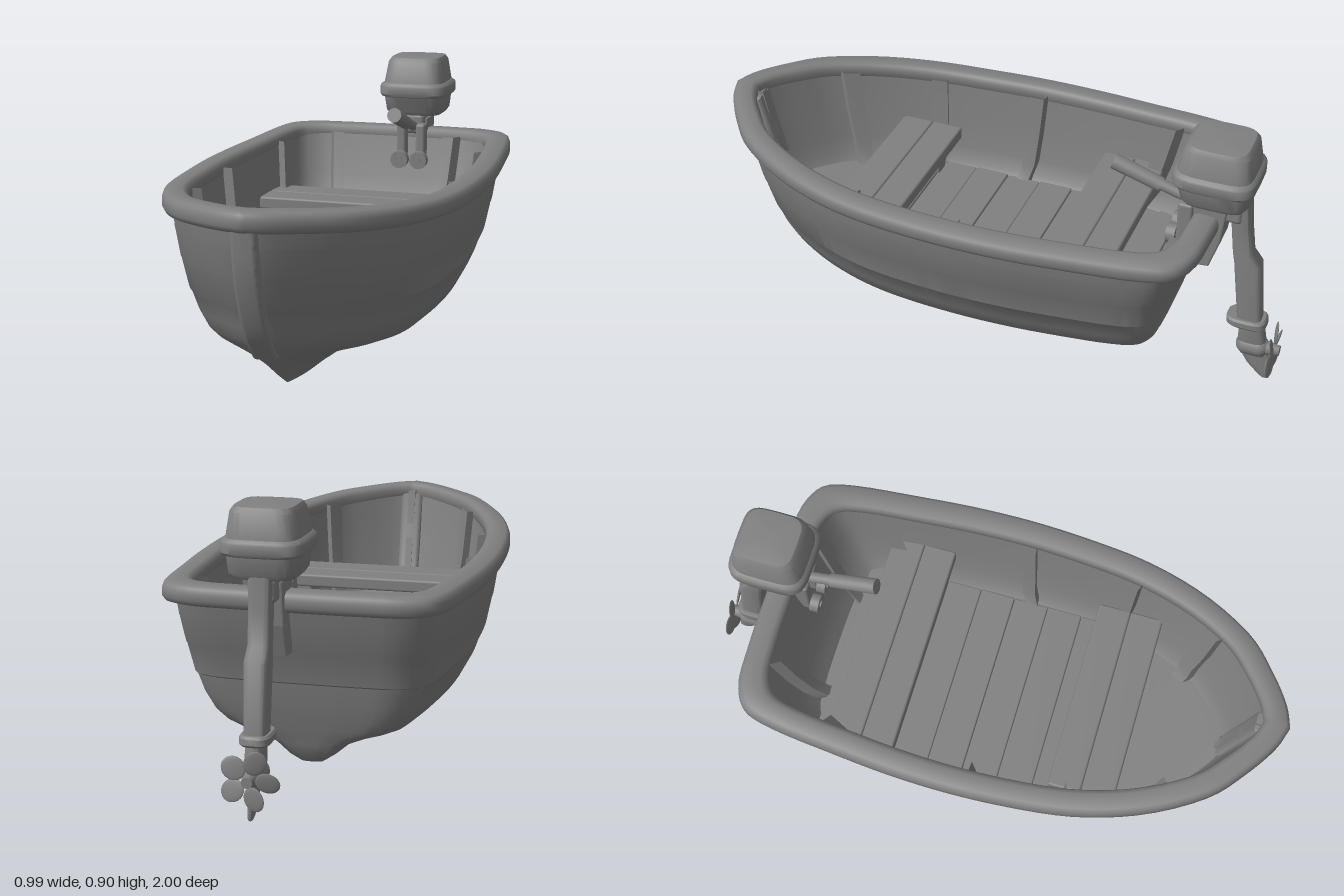
import * as THREE from 'three';
import { toCreasedNormals } from 'three/addons/utils/BufferGeometryUtils.js';
import { RoundedBoxGeometry } from 'three/addons/geometries/RoundedBoxGeometry.js';

const grey = new THREE.MeshStandardMaterial({ color: 0x808080 });
const MX = 0.069; // motor centre line

// half plan outline: x = share of half width, z = share of length from stern to bow
const outline = new THREE.CatmullRomCurve3([
  [0, 0], [0.4, 0.002], [0.72, 0.012], [0.86, 0.042], [0.91, 0.096], [0.955, 0.209], [0.99, 0.322], [1, 0.435],
  [0.98, 0.548], [0.93, 0.661], [0.81, 0.774], [0.585, 0.887], [0.365, 0.944], [0.14, 0.986], [0, 1],
].map(([x, t]) => new THREE.Vector3(x, 0, t)));
const BOW = 14; // outline point at the bow

const sheer = (t) => 0.055 * Math.max(0, (t - 0.55) / 0.45) ** 1.7 + 0.015 * Math.max(0, (0.4 - t) / 0.4) ** 2;

// point on a hull level [half width, y, stern z, bow z, sheer share]; s runs 0..2 round the boat
function hullPoint([w, y, zb, zf, rise], s, inset = 0) {
  const p = outline.getPoint(s <= 1 ? s : 2 - s);
  const t = p.z;
  const z0 = zb + inset, z1 = zf - inset;
  return new THREE.Vector3((s <= 1 ? 1 : -1) * p.x * Math.max(0, w - inset), y + rise * sheer(t), z0 + t * (z1 - z0));
}

// surface through rows of points
function grid(rows, closed = true, crease = 0.6) {
  const n = rows[0].length, pos = [], index = [];
  rows.forEach((r) => r.forEach((p) => pos.push(p.x, p.y, p.z)));
  for (let i = 0; i < rows.length - 1; i++) {
    for (let j = 0; j < (closed ? n : n - 1); j++) {
      const k = (j + 1) % n, a = i * n + j, b = i * n + k, c = a + n, d = b + n;
      index.push(a, b, c, b, d, c);
    }
  }
  const g = new THREE.BufferGeometry();
  g.setAttribute('position', new THREE.Float32BufferAttribute(pos, 3));
  g.setIndex(index);
  return toCreasedNormals(g, crease);
}

const STEPS = 112;
const ring = (level, inset = 0) => Array.from({ length: STEPS }, (_, j) => hullPoint(level, (2 * j) / STEPS, inset));

// rounded-rectangle sections [y, centre z, half x, half z], listed from top to bottom
function loft(sections, power = 0.45) {
  const n = 32;
  const bend = (v) => Math.sign(v) * Math.abs(v) ** power;
  const first = sections[0], last = sections[sections.length - 1];
  const all = [[first[0], first[1], 0, 0], ...sections, [last[0], last[1], 0, 0]];
  return grid(all.map(([y, z, hx, hz]) => Array.from({ length: n }, (_, j) => {
    const a = (j / n) * Math.PI * 2;
    return new THREE.Vector3(MX + hx * bend(Math.cos(a)), y, z + hz * bend(Math.sin(a)));
  })));
}

export function createModel() {
  const boat = new THREE.Group();
  const add = (name, geometry, x = 0, y = 0, z = 0) => {
    const m = new THREE.Mesh(geometry, grey);
    m.name = name;
    m.position.set(x, y, z);
    boat.add(m);
    return m;
  };
  const box = (name, w, h, d, x, y, z, r = 0.008) => add(name, new RoundedBoxGeometry(w, h, d, 2, r), x, y, z);
  // cylinder between two points
  const rod = (name, a, b, r0, r1 = r0) => {
    const p = new THREE.Vector3(...a), q = new THREE.Vector3(...b);
    const m = add(name, new THREE.CylinderGeometry(r1, r0, p.distanceTo(q), 20));
    m.position.copy(p).add(q).multiplyScalar(0.5);
    m.quaternion.setFromUnitVectors(new THREE.Vector3(0, 1, 0), q.sub(p).normalize());
    return m;
  };

  // planked hull with shallow strake edges and a hollow chine rising to the bow
  const hull = [
    [0.463, 0.60, -0.735, 0.968, 1], [0.456, 0.51, -0.714, 0.954, 1], [0.4545, 0.504, -0.712, 0.952, 1],
    [0.441, 0.42, -0.69, 0.931, 0.9], [0.438, 0.414, -0.687, 0.928, 0.9],
    [0.419, 0.32, -0.662, 0.896, 0.8], [0.413, 0.315, -0.656, 0.892, 0.8],
    [0.39, 0.25, -0.643, 0.87, 0.9], [0.357, 0.19, -0.627, 0.85, 1.2], [0.315, 0.153, -0.617, 0.835, 1.5],
    [0.27, 0.136, -0.612, 0.822, 1.5], [0.21, 0.124, -0.606, 0.795, 1.2], [0.14, 0.104, -0.598, 0.74, 0.8],
    [0.09, 0.072, -0.585, 0.655, 0.3], [0.05, 0.05, -0.56, 0.59, 0], [0, 0.04, -0.52, 0.5, 0],
  ];
  add('hull', grid(hull.map((l) => ring(l))));

  // inner lining and floor, from the floor centre up to the rail
  const lining = [
    [0, 0.265, -0.5, 0.8, 0.6], [0.345, 0.265, -0.555, 0.825, 0.6], [0.362, 0.285, -0.57, 0.84, 0.7],
    [0.378, 0.34, -0.608, 0.855, 0.8], [0.396, 0.45, -0.65, 0.89, 1], [0.412, 0.6, -0.69, 0.92, 1],
  ];
  add('innerLining', grid(lining.map((l) => ring(l))));

  // rounded rail round the top edge: [inset, y]
  const railSection = [
    [-0.018, 0.622], [-0.029, 0.614], [-0.034, 0.6], [-0.034, 0.578], [-0.027, 0.565], [-0.012, 0.558],
    [0.038, 0.56], [0.05, 0.57], [0.052, 0.605], [0.045, 0.618], [0.032, 0.624], [-0.018, 0.622],
  ];
  add('rail', grid(railSection.map(([d, y]) => ring([0.46, y, -0.738, 0.966, 1], d)), true, 0.9));

  // stem post down the bow
  const stem = new THREE.Shape();
  stem.moveTo(0.968, 0.63);
  stem.splineThru([[0.95, 0.5], [0.912, 0.38], [0.86, 0.277], [0.79, 0.195]].map((p) => new THREE.Vector2(...p)));
  stem.lineTo(0.74, 0.19);
  stem.lineTo(0.82, 0.3);
  stem.lineTo(0.9, 0.63);
  const stemGeo = new THREE.ExtrudeGeometry(stem, {
    depth: 0.05, bevelEnabled: true, bevelSize: 0.01, bevelThickness: 0.014, bevelSegments: 3, curveSegments: 16,
  });
  stemGeo.translate(0, 0, -0.025).rotateY(-Math.PI / 2);
  add('stemPost', toCreasedNormals(stemGeo, 0.6));

  // ribs and transom knees standing on the lining; c and h are outline point positions
  const rib = (name, c, h, depth) => {
    const cols = [[c - h, 0], [c - h, depth], [c + h, depth], [c + h, 0]];
    add(name, grid(lining.slice(1).map((l) => cols.map(([i, d]) => hullPoint(l, i / BOW, d))), false, 0.5));
  };
  for (const [name, c, h, depth] of [
    ['rib', 4.3, 0.16, 0.032], ['rib', 7.05, 0.14, 0.035], ['rib', 9.1, 0.15, 0.032],
    ['rib', 10.75, 0.16, 0.03], ['transomKnee', 1.45, 0.16, 0.035],
  ]) {
    rib(name, c, h, depth);
    rib(name, 2 * BOW - c, h, depth);
  }
  rib('bowRib', BOW, 0.25, 0.025);

  // floor boards
  for (let i = 0; i < 8; i++) {
    const z = -0.434 + i * 0.122;
    box('floorBoard', z > 0.3 ? 0.58 : 0.67, 0.022, 0.121, 0, 0.27 + (i % 2) * 0.004, z, 0.005);
  }
  box('sternBoard', 0.69, 0.022, 0.07, 0, 0.276, -0.495, 0.005);

  // two-plank seats with supports
  for (const [z, w] of [[-0.345, 0.76], [0.405, 0.67]]) {
    for (const s of [-1, 1]) {
      box('seatPlank', w, 0.045, 0.112, 0, 0.42, z + s * 0.056, 0.008);
      box('seatSupport', 0.07, 0.15, 0.11, s * (w / 2 - 0.05), 0.335, z);
    }
  }

  // motor cowling with its band
  add('cowling', loft([
    [0.904, -0.752, 0.06, 0.06], [0.9, -0.752, 0.09, 0.092], [0.885, -0.751, 0.1, 0.106], [0.81, -0.748, 0.112, 0.121],
    [0.802, -0.748, 0.124, 0.13], [0.795, -0.748, 0.127, 0.133], [0.768, -0.748, 0.127, 0.133],
    [0.76, -0.748, 0.122, 0.128], [0.757, -0.748, 0.112, 0.12], [0.705, -0.752, 0.106, 0.11], [0.69, -0.752, 0.095, 0.1],
  ]));

  // drive leg, collar, gear housing and skeg
  add('driveLeg', loft([
    [0.7, -0.827, 0.036, 0.032], [0.6, -0.836, 0.034, 0.031], [0.5, -0.849, 0.034, 0.032],
    [0.46, -0.868, 0.037, 0.043], [0.24, -0.892, 0.034, 0.04],
  ], 0.45));
  add('collar', loft([[0.247, -0.882, 0.042, 0.06], [0.24, -0.882, 0.048, 0.066], [0.222, -0.884, 0.048, 0.066], [0.215, -0.884, 0.042, 0.06]], 0.6));
  add('gearHousing', loft([[0.22, -0.9, 0.03, 0.04], [0.15, -0.906, 0.028, 0.047], [0.09, -0.912, 0.018, 0.042]], 0.7));
  add('skeg', loft([[0.11, -0.912, 0.012, 0.052], [0.05, -0.935, 0.01, 0.038], [0.012, -0.957, 0.009, 0.02], [0.002, -0.962, 0.006, 0.012]], 0.7));
  const pod = add('propellerPod', new THREE.CapsuleGeometry(0.036, 0.04, 6, 20), MX, 0.127, -0.91);
  pod.rotation.x = Math.PI / 2;
  rod('propellerHub', [MX, 0.127, -0.94], [MX, 0.127, -1], 0.026, 0.017);

  // propeller
  for (let i = 0; i < 5; i++) {
    const arm = new THREE.Group();
    arm.name = 'propellerBlade';
    arm.position.set(MX, 0.127, -0.98);
    arm.rotation.z = (i / 5) * Math.PI * 2 + 0.36;
    const blade = new THREE.Mesh(new THREE.SphereGeometry(1, 16, 10), grey);
    blade.name = 'blade';
    blade.scale.set(0.034, 0.038, 0.005);
    blade.position.y = 0.058;
    blade.rotation.y = 0.25;
    arm.add(blade);
    boat.add(arm);
  }

  // tiller with grip
  rod('tillerArm', [MX, 0.64, -0.7], [MX, 0.69, -0.53], 0.018);
  rod('tillerGrip', [MX, 0.678, -0.565], [MX, 0.73, -0.405], 0.024, 0.026);

  // clamp bracket over the transom
  box('swivelBlock', 0.085, 0.075, 0.17, MX, 0.655, -0.755, 0.015);
  const plate = new THREE.Shape([[-0.69, 0.67], [-0.79, 0.67], [-0.775, 0.54], [-0.745, 0.445], [-0.695, 0.44]].map((p) => new THREE.Vector2(...p)));
  const plateGeo = new THREE.ExtrudeGeometry(plate, { depth: 0.09, bevelSize: 0.005, bevelThickness: 0.006, bevelSegments: 2 });
  plateGeo.translate(0, 0, -0.045).rotateY(-Math.PI / 2);
  add('outerBracket', plateGeo, MX);
  for (const s of [-1, 1]) {
    const x = MX + s * 0.036;
    box('clampArm', 0.035, 0.16, 0.05, x, 0.58, -0.66, 0.01);
    rod('clampScrew', [x, 0.53, -0.68], [x, 0.53, -0.6], 0.012);
    rod('clampKnob', [x, 0.53, -0.635], [x, 0.53, -0.605], 0.032);
  }
  return boat;
}
